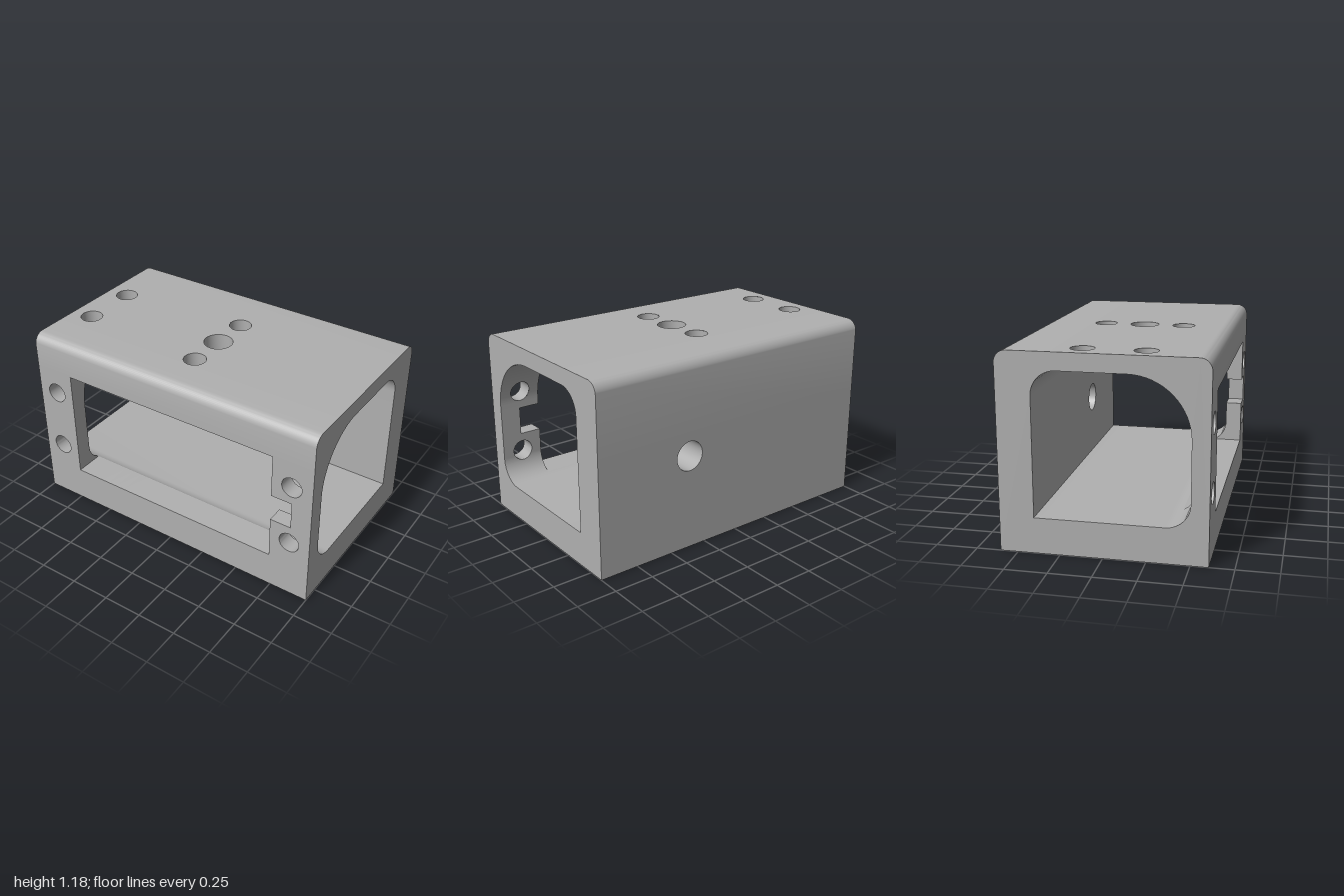
import * as THREE from 'three';
import { mergeGeometries, toCreasedNormals } from 'three/addons/utils/BufferGeometryUtils.js';

// Overall section: outer block, and a bore with differently rounded corners
const W = 1, D = 0.605, H = 1.18, R = 0.07;
const FRONT = 0.5, BACK = -0.4, FLOOR = 0.215, CEIL = 1.075;
const RS = 0.145, RL = 0.355; // small and large bore radii
const S45 = Math.SQRT1_2;
const root = (r, d) => Math.sqrt(Math.max(0, r * r - d * d));

// Bore surfaces: z as a function of y (front), y as a function of z (ceiling)
const boreFront = y => y < FLOOR + RS ? FRONT - RS + root(RS, FLOOR + RS - y)
  : y <= CEIL - RL ? FRONT : FRONT - RL + root(RL, y - CEIL + RL);
const boreCeil = z => z < BACK + RS ? CEIL - RS + root(RS, z - BACK - RS)
  : z <= FRONT - RL ? CEIL : CEIL - RL + root(RL, z - FRONT + RL);
const outerZ = y => D - R + root(R, Math.max(0, y - H + R));

// Samples c + r * sin(a) for a between a0 and a1
const arc = (c, r, a0, a1, n = 16) =>
  Array.from({ length: n + 1 }, (_, i) => c + r * Math.sin(a0 + (a1 - a0) * i / n));

// Openings, described by their left and right edge at each u
const round = (x, u, r) => ({
  x, u, r, u0: u - r, u1: u + r, rows: arc(u, r, -Math.PI / 2, Math.PI / 2, 20),
  left: v => x - root(r, v - u), right: v => x + root(r, v - u),
});
const rect = (x0, x1, u0, u1) => ({ u0, u1, rows: [u0, u1], left: () => x0, right: () => x1 });

const frontHoles = [-0.865, 0.865].flatMap(x => [0.39, 0.795].map(y => round(x, y, 0.065)));
const windowParts = [rect(-0.735, 0.735, 0.23, 0.505), rect(-0.735, 0.87, 0.505, 0.68),
  rect(-0.735, 0.735, 0.68, 0.955)];
const windowOutline = [[-0.735, 0.23], [0.735, 0.23], [0.735, 0.505], [0.87, 0.505],
  [0.87, 0.68], [0.735, 0.68], [0.735, 0.955], [-0.735, 0.955]];
const topHoles = [round(0, -0.205, 0.07), round(0, 0.045, 0.09), round(0, 0.295, 0.07),
  round(-0.86, -0.135, 0.07), round(-0.86, 0.225, 0.07)];
const backHoles = [round(0.365, 0.595, 0.093)];

// Point makers: upright walls run along y, level walls along z
const upright = f => (x, u) => [x, u, f(u)];
const level = f => (x, u) => [x, f(u), u];

function quad(out, a, b, c, d, flip) {
  if (flip) out.push(...a, ...c, ...b, ...a, ...d, ...c);
  else out.push(...a, ...b, ...c, ...a, ...c, ...d);
}

function toGeometry(positions) {
  const g = new THREE.BufferGeometry();
  g.setAttribute('position', new THREE.Float32BufferAttribute(positions, 3));
  return g;
}

// A full-width sheet built in bands along u, leaving the openings free
function sheet(point, us, flip, openings = []) {
  const rows = [...us, ...openings.flatMap(o => o.rows)].sort((a, b) => a - b)
    .filter((u, i, all) => i === 0 || u - all[i - 1] > 1e-6);
  const out = [];
  for (let i = 0; i < rows.length - 1; i++) {
    const a = rows[i], b = rows[i + 1], mid = (a + b) / 2;
    const cuts = openings.filter(o => mid > o.u0 && mid < o.u1)
      .sort((p, q) => p.left(mid) - q.left(mid));
    for (let k = 0; k <= cuts.length; k++) {
      const l = k === 0 ? () => -W : cuts[k - 1].right;
      const r = k === cuts.length ? () => W : cuts[k].left;
      quad(out, point(l(a), a), point(r(a), a), point(r(b), b), point(l(b), b), flip);
    }
  }
  return toGeometry(out);
}

// The wall thickness seen inside an opening
function reveal(outline, outer, inner, flip, steps = 1) {
  const out = [];
  outline.forEach((p, i) => {
    const q = outline[(i + 1) % outline.length];
    for (let k = 0; k < steps; k++) {
      const at = t => [p[0] + (q[0] - p[0]) * t, p[1] + (q[1] - p[1]) * t];
      const a = at(k / steps), b = at((k + 1) / steps);
      quad(out, outer(...a), outer(...b), inner(...b), inner(...a), flip);
    }
  });
  return toGeometry(out);
}

const circle = o => Array.from({ length: 40 }, (_, i) => {
  const t = i / 40 * Math.PI * 2;
  return [o.x + o.r * Math.cos(t), o.u + o.r * Math.sin(t)];
});

// End face: the outer section with the bore cut out
function endCap(side) {
  const s = -side;
  const corner = (cz, cy, r, a0) => Array.from({ length: 17 }, (_, i) => {
    const t = a0 + i / 16 * Math.PI / 2;
    return new THREE.Vector2(s * (cz + r * Math.cos(t)), cy + r * Math.sin(t));
  });
  const shape = new THREE.Shape([
    new THREE.Vector2(-D * s, 0), new THREE.Vector2(D * s, 0),
    ...corner(D - R, H - R, R, 0), ...corner(-D + R, H - R, R, Math.PI / 2)]);
  shape.holes.push(new THREE.Path([
    new THREE.Vector2(BACK * s, FLOOR),
    ...corner(FRONT - RS, FLOOR + RS, RS, -Math.PI / 2),
    ...corner(FRONT - RL, CEIL - RL, RL, 0),
    ...corner(BACK + RS, CEIL - RS, RS, Math.PI / 2)]));
  return new THREE.ShapeGeometry(shape).rotateY(side * Math.PI / 2).translate(side * W, 0, 0);
}

export function createModel() {
  const group = new THREE.Group();
  const grey = new THREE.MeshStandardMaterial({ color: 0xb0b0b0 });
  grey.name = 'plain grey';
  const add = (name, geometry) => {
    const mesh = new THREE.Mesh(geometry, grey);
    mesh.name = name;
    group.add(mesh);
  };
  const smooth = parts => toCreasedNormals(mergeGeometries(parts), 0.5);

  const frontOut = upright(outerZ), frontIn = upright(boreFront);
  const topOut = level(() => H), topIn = level(boreCeil);
  const backOut = upright(y => -outerZ(y)), backIn = upright(() => BACK);
  const q = Math.PI / 2;
  const outerRows = [0, ...arc(H - R, R, 0, q, 12)];
  const frontOpenings = [...frontHoles, ...windowParts];

  // Outside skin
  add('outerShell', smooth([
    sheet(frontOut, outerRows, false, frontOpenings),
    sheet(backOut, outerRows, true, backHoles),
    sheet(topOut, [-D + R, D - R], true, topHoles),
    sheet(level(() => 0), [-D, D], false),
  ]));

  // Bore skin; the large corner is shared between front and ceiling at 45 degrees
  add('innerBore', smooth([
    sheet(frontIn, [...arc(FLOOR + RS, RS, -q, 0), ...arc(CEIL - RL, RL, 0, q / 2)], true, frontOpenings),
    sheet(topIn, [...arc(BACK + RS, RS, -q, 0), ...arc(FRONT - RL, RL, 0, q / 2),
      FRONT - RL + RL * S45], false, topHoles),
    sheet(backIn, [FLOOR, CEIL - RS], false, backHoles),
    sheet(level(() => FLOOR), [BACK, FRONT - RS], true),
  ]));

  // Thickness of the window and of every drilled hole
  add('windowReveal', smooth([reveal(windowOutline, frontOut, frontIn, false, 24)]));
  add('frontHoleWalls', smooth(frontHoles.map(o => reveal(circle(o), frontOut, frontIn, false))));
  add('topHoleWalls', smooth(topHoles.map(o => reveal(circle(o), topOut, topIn, true))));
  add('backHoleWall', smooth(backHoles.map(o => reveal(circle(o), backOut, backIn, true))));

  // Flat ends
  add('leftEnd', endCap(1));
  add('rightEnd', endCap(-1));
  return group;
}
